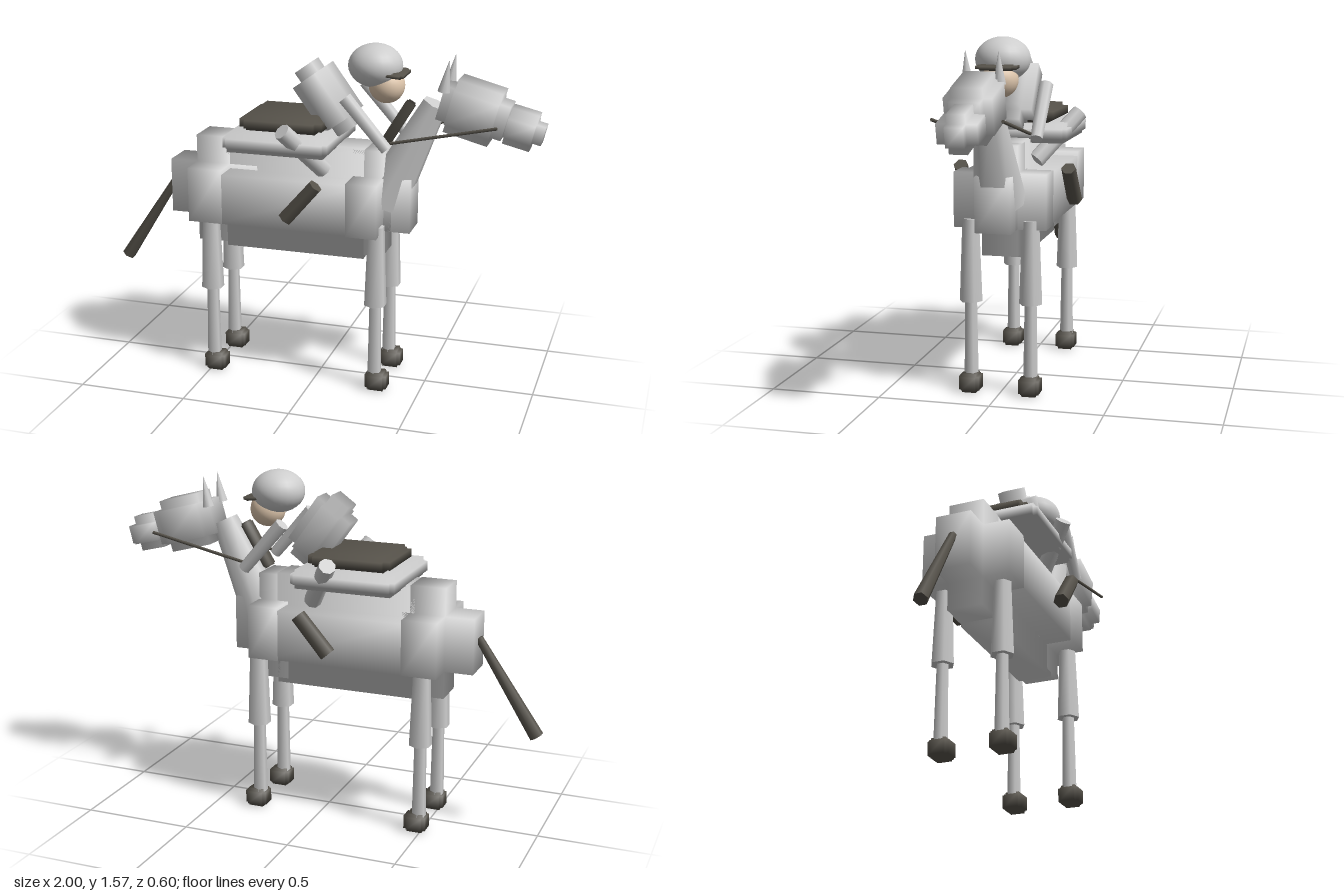
import * as THREE from 'three';
import { mergeGeometries } from 'three/addons/utils/BufferGeometryUtils.js';

const mat = (name, color) => Object.assign(new THREE.MeshStandardMaterial({ color }), { name });

export function createModel() {
  const group = new THREE.Group();
  const grey = mat('pale grey', 0xcdcdcd);
  const dark = mat('dark leather', 0x56524a);
  const skin = mat('skin', 0xe0c8ae);

  const add = (name, geo, material) => {
    const mesh = new THREE.Mesh(geo, material);
    mesh.name = name;
    group.add(mesh);
    return mesh;
  };

  // Block with notched edges: three crossing boxes with softly shaded corners.
  // full and inner are half sizes; tilt turns it about z.
  const block = (name, center, full, inner, material, tilt = 0) => {
    const bars = [0, 1, 2].map((axis) => {
      const seg = [1, 1, 1];
      seg[axis] = 3;
      const geo = new THREE.BoxGeometry(2, 2, 2, ...seg);
      const p = geo.attributes.position, n = geo.attributes.normal;
      for (let i = 0; i < p.count; i++) {
        const v = [p.getX(i), p.getY(i), p.getZ(i)];
        const s = v.map(Math.sign);
        const out = v.map((c, a) => s[a] * (a === axis && Math.abs(c) > 0.9 ? full[a] : inner[a]));
        p.setXYZ(i, ...out);
        const nv = new THREE.Vector3(s[0] / full[0], s[1] / full[1], s[2] / full[2]).normalize();
        n.setXYZ(i, nv.x, nv.y, nv.z);
      }
      return geo;
    });
    const mesh = add(name, mergeGeometries(bars), material);
    mesh.position.set(...center);
    mesh.rotation.z = tilt;
    return mesh;
  };

  // Tapered limb from point a to point b
  const limb = (name, a, b, ra, rb, material, sides = 6) => {
    const A = new THREE.Vector3(...a), B = new THREE.Vector3(...b);
    const d = B.clone().sub(A);
    const mesh = add(name, new THREE.CylinderGeometry(rb, ra, d.length(), sides), material);
    mesh.position.copy(A).add(B).multiplyScalar(0.5);
    mesh.quaternion.setFromUnitVectors(new THREE.Vector3(0, 1, 0), d.normalize());
    return mesh;
  };

  const ball = (name, center, radii, material) => {
    const mesh = add(name, new THREE.SphereGeometry(1, 24, 16), material);
    mesh.position.set(...center);
    mesh.scale.set(...radii);
  };

  // Horse body
  block('barrel', [-0.105, 0.857, 0], [0.45, 0.257, 0.198], [0.325, 0.115, 0.08], grey);
  block('rump', [-0.49, 0.867, 0], [0.21, 0.25, 0.2], [0.08, 0.125, 0.08], grey);
  block('chest', [0.24, 0.863, 0], [0.19, 0.243, 0.207], [0.07, 0.122, 0.08], grey);
  limb('neck', [0.29, 0.86, 0], [0.515, 1.32, 0], 0.12, 0.06, grey);
  limb('tail', [-0.70, 0.89, 0], [-0.975, 0.47, 0], 0.018, 0.032, dark);
  block('mane', [0.35, 1.22, 0], [0.022, 0.115, 0.028], [0.016, 0.108, 0.02], dark, -0.54);

  // Horse head
  block('horseHead', [0.69, 1.303, 0], [0.147, 0.12, 0.1], [0.1, 0.077, 0.065], grey, -0.26);
  block('muzzle', [0.893, 1.24, 0], [0.1, 0.082, 0.083], [0.06, 0.042, 0.038], grey, -0.24);

  // Saddle cloth and saddle
  block('saddleCloth', [-0.147, 1.133, 0], [0.24, 0.042, 0.246], [0.22, 0.022, 0.228], grey);
  block('saddle', [-0.147, 1.207, 0], [0.19, 0.035, 0.172], [0.16, 0.018, 0.145], dark);

  // Legs and hooves
  for (const x of [-0.487, 0.293]) {
    for (const z of [-0.135, 0.135]) {
      limb('upperLeg', [x, 0.41, z], [x, 0.78, z], 0.052, 0.038, grey);
      limb('lowerLeg', [x, 0.05, z], [x, 0.43, z], 0.033, 0.027, grey);
      block('hoof', [x + 0.012, 0.042, z], [0.05, 0.042, 0.046], [0.035, 0.03, 0.032], dark);
    }
  }

  // Rider body and head
  block('riderTorso', [0.03, 1.315, 0], [0.095, 0.17, 0.1], [0.047, 0.12, 0.052], grey, 0.628);
  ball('riderFace', [0.297, 1.388, 0], [0.08, 0.08, 0.08], skin);
  ball('helmet', [0.245, 1.472, 0], [0.12, 0.096, 0.12], grey);
  block('helmetVisor', [0.335, 1.444, 0], [0.052, 0.012, 0.09], [0.038, 0.006, 0.07], dark, -0.08);

  // Paired parts on both sides
  for (const s of [-1, 1]) {
    limb('ear', [0.563, 1.39, s * 0.068], [0.585, 1.525, s * 0.07], 0.027, 0.001, grey, 8);
    limb('rein', [0.35, 1.165, s * 0.145], [0.81, 1.265, s * 0.145], 0.007, 0.007, dark);
    limb('riderArm', [0.155, 1.358, s * 0.17], [0.342, 1.143, s * 0.17], 0.032, 0.027, grey, 8);
    limb('riderThigh', [0.04, 1.01, s * 0.1], [-0.098, 1.215, s * 0.27], 0.04, 0.038, grey, 8);
    limb('riderBoot', [0.048, 0.978, s * 0.25], [-0.092, 0.815, s * 0.25], 0.034, 0.036, dark);
  }
  return group;
}
